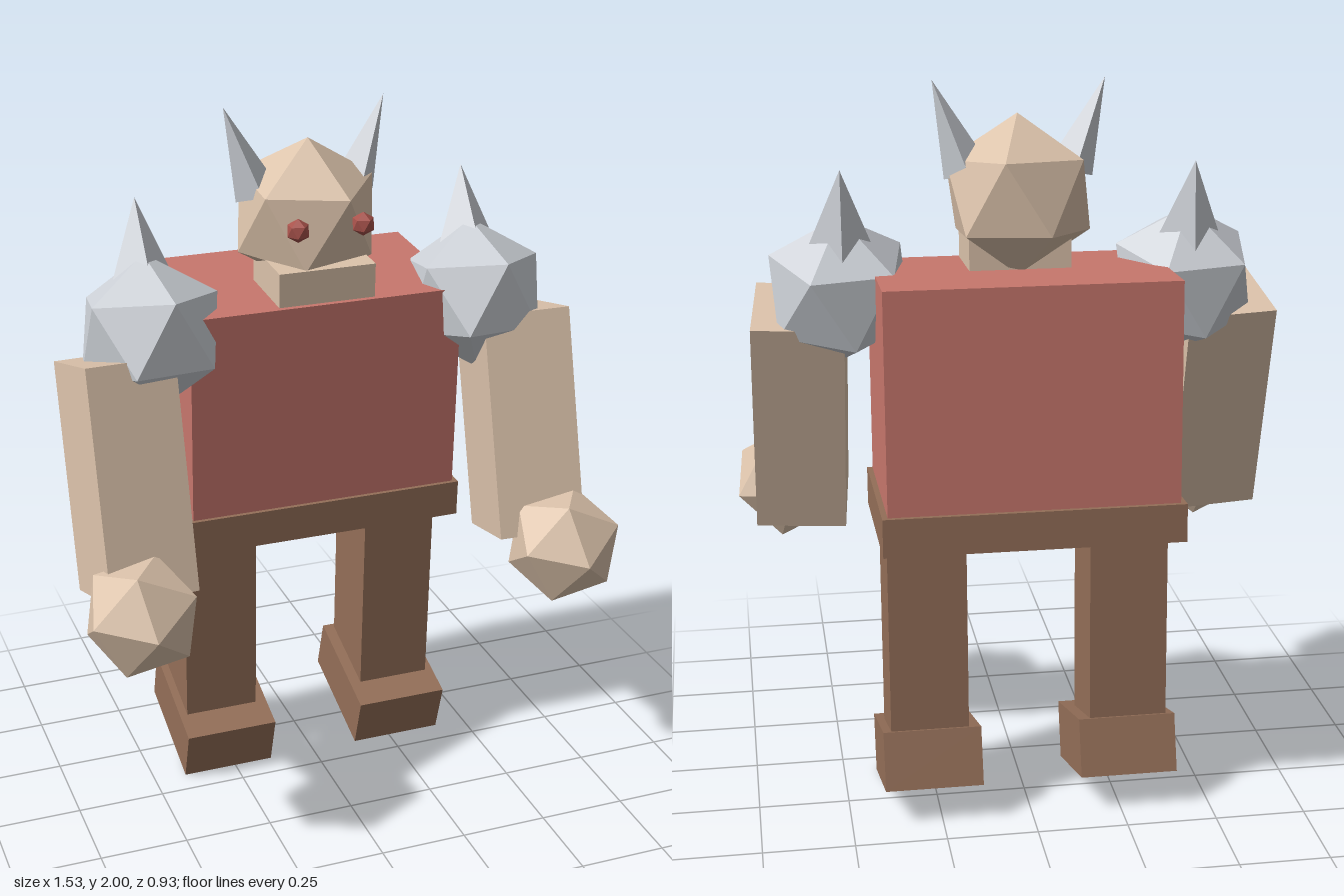
import * as THREE from 'three';

const mat = (name, color) => {
  const m = new THREE.MeshStandardMaterial({ color });
  m.name = name;
  m.flatShading = true;
  return m;
};

export function createModel() {
  const model = new THREE.Group();
  model.name = 'giant';
  const skin = mat('skin', 0xdcc3ab);
  const red = mat('red tunic', 0xc8776d);
  const brown = mat('brown leather', 0x946f58);
  const steel = mat('steel', 0xccd0d6);
  const eyeRed = mat('eye red', 0xa8524b);

  const add = (name, geometry, material, position, rotation = [0, 0, 0]) => {
    const mesh = new THREE.Mesh(geometry, material);
    mesh.name = name;
    mesh.position.set(...position);
    mesh.rotation.set(...rotation);
    model.add(mesh);
    return mesh;
  };
  const box = (name, size, material, position, rotation) =>
    add(name, new THREE.BoxGeometry(...size), material, position, rotation);

  // Icosahedron standing on a corner, with one upper-ring corner towards +x
  const TILT = Math.atan(2 / (1 + Math.sqrt(5)));
  const ball = (name, radius, material, position, rotation) =>
    add(name, new THREE.IcosahedronGeometry(radius, 0).rotateZ(-TILT), material, position, rotation);

  // Four-sided spike from a base point to a tip
  const spike = (name, radius, base, tip) => {
    const a = new THREE.Vector3(...base), b = new THREE.Vector3(...tip);
    const dir = b.clone().sub(a);
    const mesh = add(name, new THREE.ConeGeometry(radius, dir.length(), 4), steel,
      a.add(b).multiplyScalar(0.5).toArray());
    mesh.quaternion.setFromUnitVectors(new THREE.Vector3(0, 1, 0), dir.normalize());
  };

  // Trunk, leaning slightly forward
  const LEAN = 0.05;
  box('torso', [0.78, 0.6, 0.47], red, [0, 1.2, -0.187], [LEAN, 0, 0]);
  box('belt', [0.81, 0.105, 0.495], brown, [0, 0.85, -0.206], [LEAN, 0, 0]);

  // Head
  box('jaw', [0.275, 0.12, 0.22], skin, [0, 1.53, -0.06], [LEAN, 0, 0]);
  ball('head', 0.215, skin, [0, 1.692, -0.128], [0.1, 0, 0]);

  for (const s of [-1, 1]) {
    const side = s > 0 ? 'left' : 'right';
    ball(side + 'Eye', 0.033, eyeRed, [s * 0.092, 1.707, 0.073]);
    spike(side + 'Horn', 0.062, [s * 0.14, 1.76, -0.13], [s * 0.228, 2.0, -0.133]);

    // Shoulder armour and arm
    ball(side + 'ShoulderGuard', 0.213, steel, [s * 0.473, 1.43, -0.045], [-0.2, 0.15 - Math.PI / 2, 0]);
    spike(side + 'ShoulderSpike', 0.11, [s * 0.473, 1.5, -0.08], [s * 0.473, 1.775, -0.154]);
    box(side + 'Arm', [0.25, 0.635, 0.265], skin, [s * 0.582, 1.073, 0.065], [-0.262, -s * 0.1, 0]);
    ball(side + 'Fist', 0.167, skin, [s * 0.618, 0.775, 0.305], [Math.PI / 2, 0.49, 0]);

    // Leg and toe-down foot
    box(side + 'Leg', [0.215, 0.7, 0.235], brown, [s * 0.277, 0.435, -0.219], [LEAN, 0, 0]);
    box(side + 'Foot', [0.27, 0.162, 0.348], brown, [s * 0.272, 0.129, -0.216], [0.305, 0, 0]);
  }
  return model;
}
